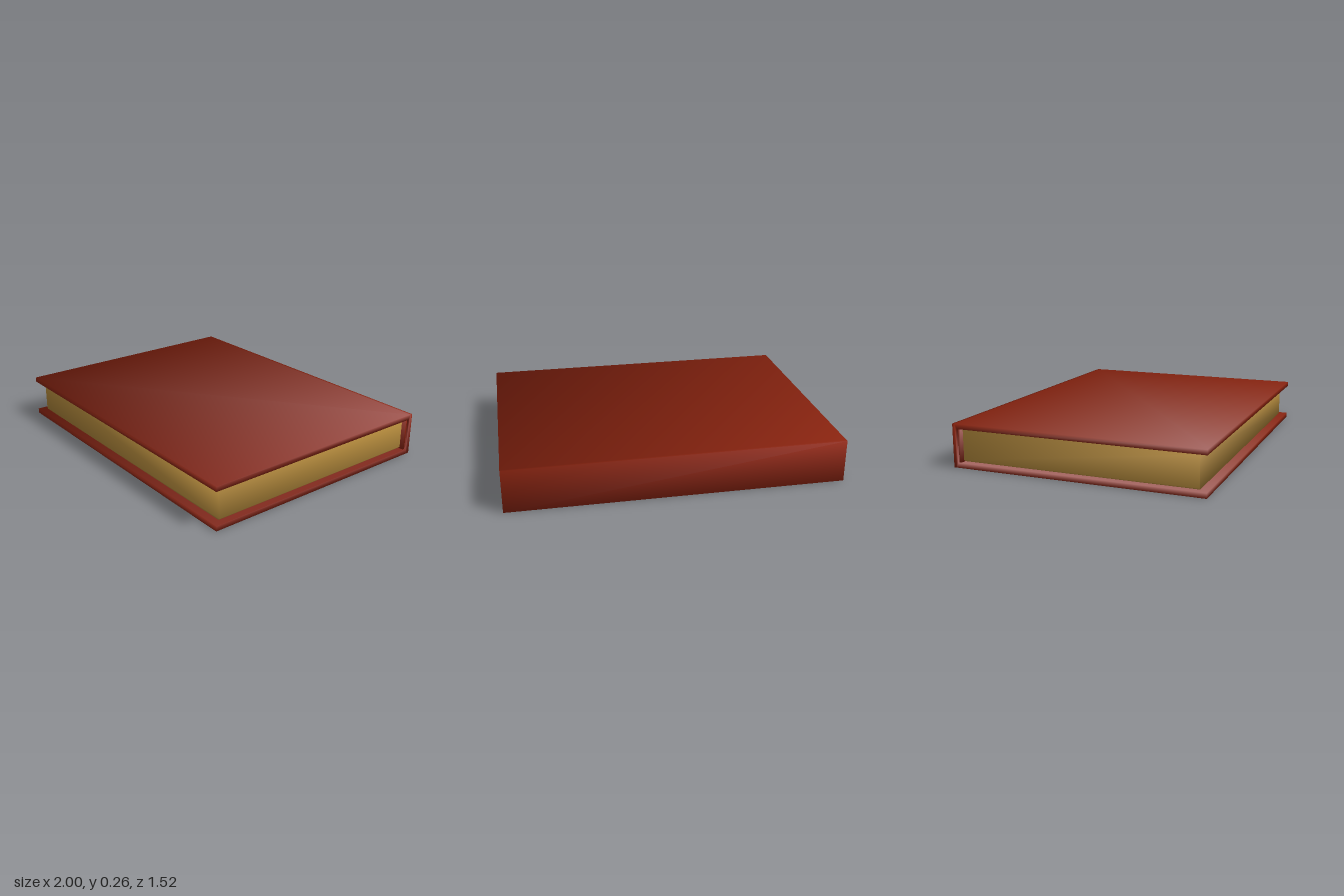
import * as THREE from 'three';

// Smooth shading: each corner averages the distinct face directions meeting there.
function soften(geometry) {
  const geo = geometry.index ? geometry.toNonIndexed() : geometry;
  geo.computeVertexNormals();
  const pos = geo.attributes.position, nor = geo.attributes.normal;
  const corners = new Map();
  const key = i => [pos.getX(i), pos.getY(i), pos.getZ(i)].map(v => Math.round(v * 1e4)).join();
  for (let i = 0; i < pos.count; i++) {
    const n = new THREE.Vector3().fromBufferAttribute(nor, i);
    const list = corners.get(key(i)) ?? [];
    if (!list.some(m => m.dot(n) > 0.99)) list.push(n);
    corners.set(key(i), list);
  }
  const sum = new THREE.Vector3();
  for (let i = 0; i < pos.count; i++) {
    sum.set(0, 0, 0);
    corners.get(key(i)).forEach(n => sum.add(n));
    sum.normalize();
    nor.setXYZ(i, sum.x, sum.y, sum.z);
  }
  return geo;
}

function extrude(points, depth) {
  const shape = new THREE.Shape(points.map(([x, y]) => new THREE.Vector2(x, y)));
  return new THREE.ExtrudeGeometry(shape, { depth, bevelEnabled: false });
}

export function createModel() {
  const leather = new THREE.MeshStandardMaterial({ color: 0x8b2410 });
  leather.name = 'red leather';
  const paper = new THREE.MeshStandardMaterial({ color: 0xb98e3e });
  paper.name = 'gilded paper';

  const group = new THREE.Group();
  group.name = 'book';
  const add = (name, geometry, material) => {
    const mesh = new THREE.Mesh(soften(geometry), material);
    mesh.name = name;
    group.add(mesh);
  };

  // Cover: two boards joined by the spine, a C-shaped profile (z, y) run along x
  const cover = extrude([
    [-0.76, 0], [-0.745, 0], [0.76, 0], [0.76, 0.03], [-0.73, 0.03],
    [-0.73, 0.23], [0.76, 0.23], [0.76, 0.26], [-0.745, 0.26], [-0.76, 0.26],
  ], 2);
  cover.rotateY(-Math.PI / 2).translate(1, 0, 0);
  add('cover', cover, leather);

  // Spine lining behind the pages
  add('spineLining', new THREE.BoxGeometry(1.98, 0.2, 0.015).translate(0, 0.13, -0.7225), leather);

  // Page block with slightly cut long edges
  const w = 0.965, c = 0.01, y0 = 0.03, y1 = 0.23;
  const pages = extrude([
    [-w + c, y0], [w - c, y0], [w, y0 + c], [w, y1 - c],
    [w - c, y1], [-w + c, y1], [-w, y1 - c], [-w, y0 + c],
  ], 1.425);
  pages.translate(0, 0, -0.715);
  add('pages', pages, paper);

  return group;
}
